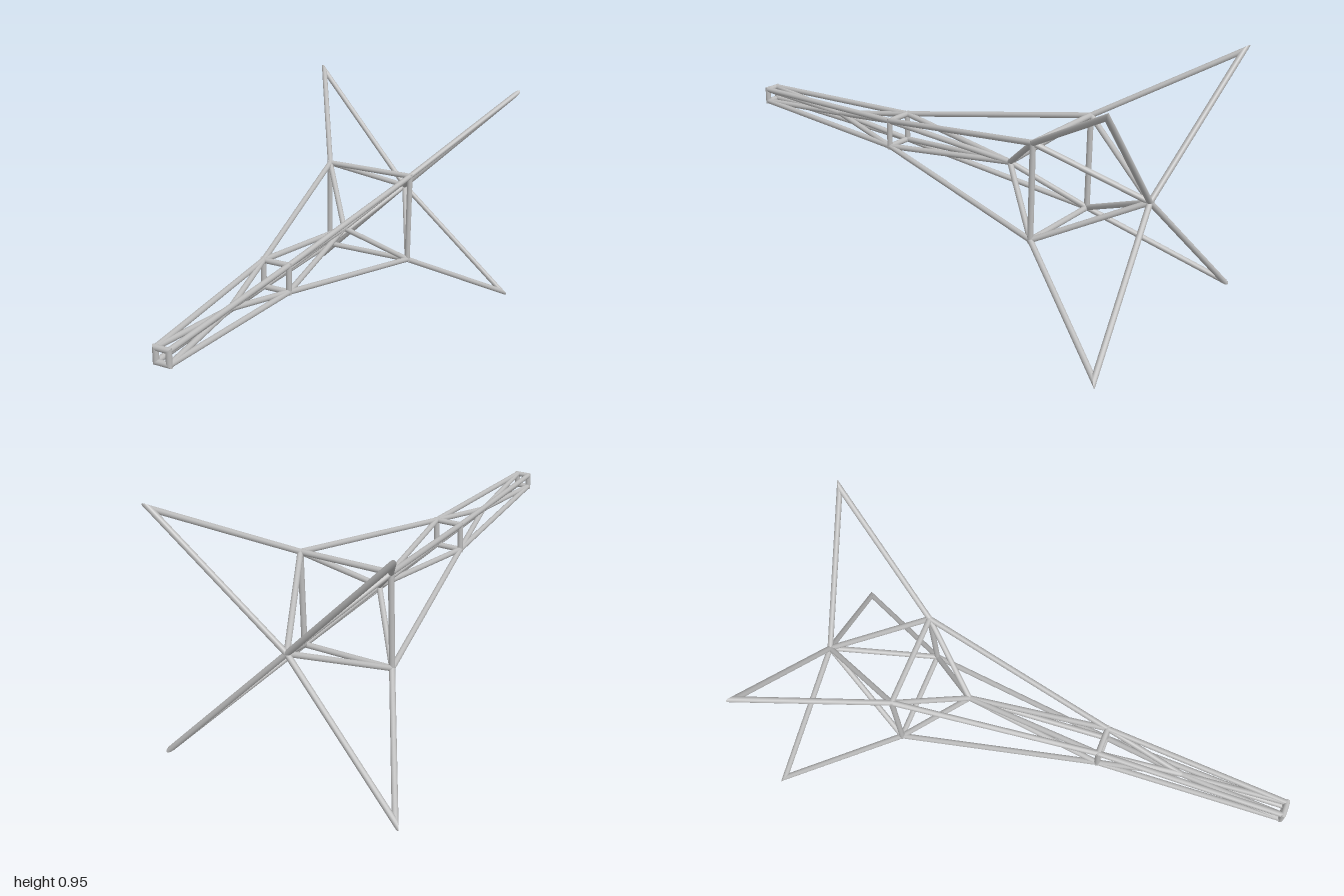
import * as THREE from 'three';

const RADIUS = 0.011;
const CENTER_Y = 0.4745;

export function createModel() {
  const model = new THREE.Group();
  model.name = 'trussFrame';
  const steel = new THREE.MeshStandardMaterial({ color: 0xbcbcbc });
  steel.name = 'lightGreySteel';

  const group = (name) => {
    const g = new THREE.Group();
    g.name = name;
    model.add(g);
    return g;
  };

  // Round rod from a to b; an end is mitred where the rod to point before or after joins it
  const up = new THREE.Vector3(0, 1, 0);
  const rod = (parent, name, a, b, before, after) => {
    const dir = b.clone().sub(a);
    const length = dir.length();
    dir.normalize();
    const geometry = new THREE.CylinderGeometry(RADIUS, RADIUS, length, 12);
    const turn = new THREE.Quaternion().setFromUnitVectors(up, dir);
    const back = turn.clone().invert();
    const pos = geometry.attributes.position;
    for (const [end, away, neighbour, side] of [
      [a, dir, before, -1],
      [b, dir.clone().negate(), after, 1],
    ]) {
      if (!neighbour) continue;
      const n = neighbour.clone().sub(end).normalize().sub(away).applyQuaternion(back);
      for (let i = 0; i < pos.count; i++) {
        if (pos.getY(i) * side > 0) {
          pos.setY(i, side * length / 2 - (pos.getX(i) * n.x + pos.getZ(i) * n.z) / n.y);
        }
      }
    }
    const mesh = new THREE.Mesh(geometry, steel);
    mesh.name = name;
    mesh.position.copy(a).add(b).multiplyScalar(0.5);
    mesh.quaternion.copy(turn);
    parent.add(mesh);
  };

  // Four corners of a square station, and a point on the centre axis
  const square = (half, z) => [[1, 1], [-1, 1], [-1, -1], [1, -1]].map(
    ([x, y]) => new THREE.Vector3(x * half, CENTER_Y + y * half, z));
  const axis = (z) => new THREE.Vector3(0, CENTER_Y, z);

  const nose = square(0.026, 0.989);
  const middle = square(0.054, 0.255);
  const rear = square(0.186, -0.53);
  const tips = square(0.457, -0.985);
  const frontNode = axis(0.58);
  const middleNode = axis(-0.3);
  const tailNode = axis(-0.9);

  // Square frames with mitred corners
  for (const [name, corners] of [['noseFrame', nose], ['middleFrame', middle], ['rearFrame', rear]]) {
    const g = group(name);
    corners.forEach((c, i) => rod(g, 'frameBar', c, corners[(i + 1) % 4],
      corners[(i + 3) % 4], corners[(i + 2) % 4]));
  }

  // Long corner rails and the outer edges of the fins, mitred to a point at the tips
  const rails = group('cornerRails');
  const fins = group('tailFins');
  for (let i = 0; i < 4; i++) {
    rod(rails, 'frontRail', nose[i], middle[i]);
    rod(rails, 'rearRail', middle[i], rear[i]);
    rod(fins, 'finLeadingEdge', rear[i], tips[i], null, tailNode);
    rod(fins, 'finTrailingEdge', tailNode, tips[i], null, rear[i]);
  }

  // Inner braces from each frame to the nodes on the axis
  const braces = group('innerBraces');
  for (const [node, corners] of [
    [frontNode, nose], [frontNode, middle],
    [middleNode, middle], [middleNode, rear],
    [tailNode, rear],
  ]) corners.forEach((c) => rod(braces, 'brace', node, c));

  return model;
}
